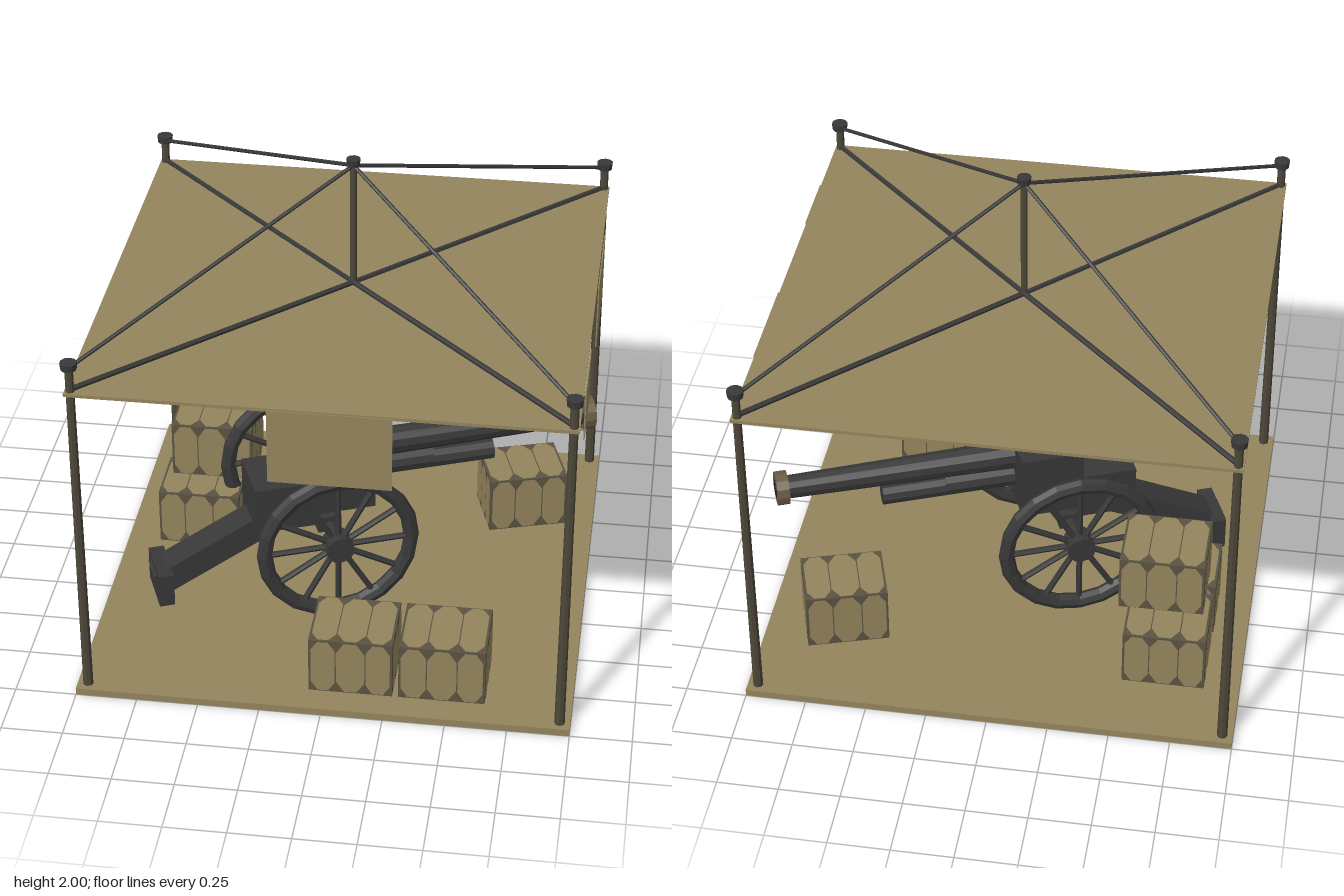
import * as THREE from 'three';

const mat = (name, color) => {
  const m = new THREE.MeshStandardMaterial({ color, flatShading: true });
  m.name = name;
  return m;
};

export function createModel() {
  const canvas = mat('tan canvas', 0x93845c);
  const crateDark = mat('dark crate brown', 0x5b5342);
  const post = mat('dark olive wood', 0x4c4739);
  const iron = mat('dark iron', 0x383838);
  const black = mat('bore black', 0x222222);
  const bronze = mat('muzzle brown', 0x6a5c45);
  const model = new THREE.Group();

  const add = (parent, name, geo, material, x = 0, y = 0, z = 0) => {
    const m = new THREE.Mesh(geo, material);
    m.name = name;
    m.position.set(x, y, z);
    parent.add(m);
    return m;
  };
  const box = (w, h, d) => new THREE.BoxGeometry(w, h, d);
  const cyl = (top, bottom, h, n = 10) => new THREE.CylinderGeometry(top, bottom, h, n);

  // Straight round rod between two points
  const rod = (parent, name, a, b, r, material, sides = 6) => {
    const p = new THREE.Vector3(...a), q = new THREE.Vector3(...b);
    const d = q.clone().sub(p);
    const m = add(parent, name, cyl(r, r, d.length(), sides), material);
    m.position.copy(p).lerp(q, 0.5);
    m.quaternion.setFromUnitVectors(new THREE.Vector3(0, 1, 0), d.normalize());
    return m;
  };

  // Floor and flat canopy
  add(model, 'floor', box(2, 0.03, 2), canvas, 0, 0.015, 0);
  add(model, 'canopy', box(1.96, 0.014, 1.96), canvas, 0, 1.42, 0);

  // Corner posts with caps, canopy beams and stay ropes
  const c = 0.957;
  for (const sx of [-1, 1]) for (const sz of [-1, 1]) {
    add(model, 'cornerPost', cyl(0.017, 0.021, 1.5, 8), post, sx * c, 0.78, sz * c);
    add(model, 'postCap', cyl(0.034, 0.031, 0.03, 10), iron, sx * c, 1.54, sz * c);
    rod(model, 'canopyBeam', [0, 1.435, 0], [sx * c, 1.435, sz * c], 0.011, iron);
    rod(model, 'stayRope', [0, 1.965, 0], [sx * c, 1.53, sz * c], 0.008, iron);
  }
  add(model, 'centrePole', cyl(0.014, 0.014, 0.54, 8), post, 0, 1.7, 0);
  add(model, 'poleCap', cyl(0.029, 0.026, 0.03, 10), iron, 0, 1.98, 0);

  // Hanging cloth panels
  add(model, 'frontCloth', box(0.48, 0.32, 0.005), canvas, 0.04, 1.26, 0.982);
  add(model, 'sideCloth', box(0.005, 0.29, 0.43), canvas, 0.985, 1.275, -0.345);
  add(model, 'sideCloth', box(0.005, 0.23, 0.29), canvas, 0.985, 1.305, 0.525);

  // Elongated plate with cut corners
  const plate = (w, h) => {
    const s = new THREE.Shape(), a = w / 2, b = h / 2, k = w * 0.28, e = w * 0.42;
    [[-a, -b + e], [-a + k, -b], [a - k, -b], [a, -b + e], [a, b - e], [a - k, b], [-a + k, b], [-a, b - e]]
      .forEach(([x, y], i) => (i ? s.lineTo(x, y) : s.moveTo(x, y)));
    return new THREE.ShapeGeometry(s);
  };

  // Crates with three light panels on the sides and top
  const crate = (x, y, z, w, d, yaw = 0) => {
    const g = new THREE.Group(), h = 0.25;
    g.name = 'crate';
    g.position.set(x, y + h / 2, z);
    g.rotation.y = yaw;
    add(g, 'crateBody', box(w, h, d), crateDark);
    const face = (width, height, dist, rx, ry) => {
      const f = new THREE.Group();
      f.name = 'cratePanels';
      f.rotation.set(rx, ry, 0);
      for (const i of [-1, 0, 1])
        add(f, 'cratePanel', plate(width * (i ? 0.29 : 0.34), height * 0.96), canvas, i * width * 0.328, 0, dist + 0.002);
      g.add(f);
    };
    face(w, h, d / 2, 0, 0);
    face(w, h, d / 2, 0, Math.PI);
    face(d, h, w / 2, 0, Math.PI / 2);
    face(d, h, w / 2, 0, -Math.PI / 2);
    face(w, d, h / 2, -Math.PI / 2, 0);
    model.add(g);
  };
  crate(0.105, 0.03, 0.73, 0.34, 0.3);
  crate(0.475, 0.03, 0.73, 0.35, 0.3);
  crate(0.68, 0.03, -0.52, 0.34, 0.27, 0.3);
  crate(-0.685, 0.03, -0.55, 0.34, 0.3);
  crate(-0.685, 0.03, -0.215, 0.35, 0.28);
  crate(-0.65, 0.28, -0.38, 0.35, 0.3);

  // Field gun: local +x points along the barrel, z along the axle
  const gun = new THREE.Group();
  gun.name = 'fieldGun';
  gun.position.set(-0.147, 0, 0.035);
  gun.rotation.y = 0.387;
  model.add(gun);
  const tube = (name, x0, x1, y, r0, r1, material, n = 12) =>
    add(gun, name, cyl(r1, r0, x1 - x0, n).rotateZ(-Math.PI / 2), material, (x0 + x1) / 2, y, 0);

  // Barrel, muzzle and recoil cylinder
  tube('barrel', 0.15, 1.17, 0.632, 0.063, 0.049, iron);
  tube('muzzleRing', 1.16, 1.21, 0.632, 0.072, 0.072, bronze);
  tube('bore', 1.2, 1.213, 0.632, 0.038, 0.038, black);
  tube('recoilCylinder', 0.15, 0.767, 0.517, 0.045, 0.045, iron, 10);
  tube('recoilSleeve', 0.18, 0.5, 0.525, 0.052, 0.05, iron, 10);

  // Breech housing, sight stub and carriage
  add(gun, 'breechHousing', box(0.265, 0.29, 0.35), iron, 0.072, 0.575, 0);
  add(gun, 'sightBase', cyl(0.046, 0.049, 0.03, 10), iron, 0.097, 0.73, 0);
  add(gun, 'sightStub', cyl(0.036, 0.043, 0.12, 10), iron, 0.097, 0.785, 0);
  add(gun, 'carriageBox', box(0.27, 0.21, 0.26), iron, -0.165, 0.45, 0);
  add(gun, 'axleBeam', box(0.1, 0.07, 0.42), iron, 0, 0.395, 0);

  // Trail beam and its ground spade
  const trail = add(gun, 'trailBeam', box(0.68, 0.11, 0.13), iron, -0.4, 0.255, 0);
  trail.rotation.z = Math.atan(0.5);
  add(gun, 'trailSpade', box(0.065, 0.15, 0.225), iron, -0.684, 0.106, 0);

  // Spoked wheels and axle
  rod(gun, 'axle', [0, 0.385, -0.38], [0, 0.385, 0.38], 0.028, iron, 8);
  for (const side of [-1, 1]) {
    const wheel = new THREE.Group();
    wheel.name = 'wheel';
    wheel.position.set(0, 0.385, side * 0.35);
    gun.add(wheel);
    add(wheel, 'rim', new THREE.TorusGeometry(0.313, 0.033, 8, 20), iron);
    add(wheel, 'hub', cyl(0.06, 0.06, 0.09, 12).rotateX(Math.PI / 2), iron);
    for (let i = 0; i < 12; i++) {
      const a = (i * Math.PI) / 6;
      const at = (r) => [Math.cos(a) * r, Math.sin(a) * r, 0];
      rod(wheel, 'spoke', at(0.04), at(0.3), 0.013, iron);
    }
  }
  return model;
}
